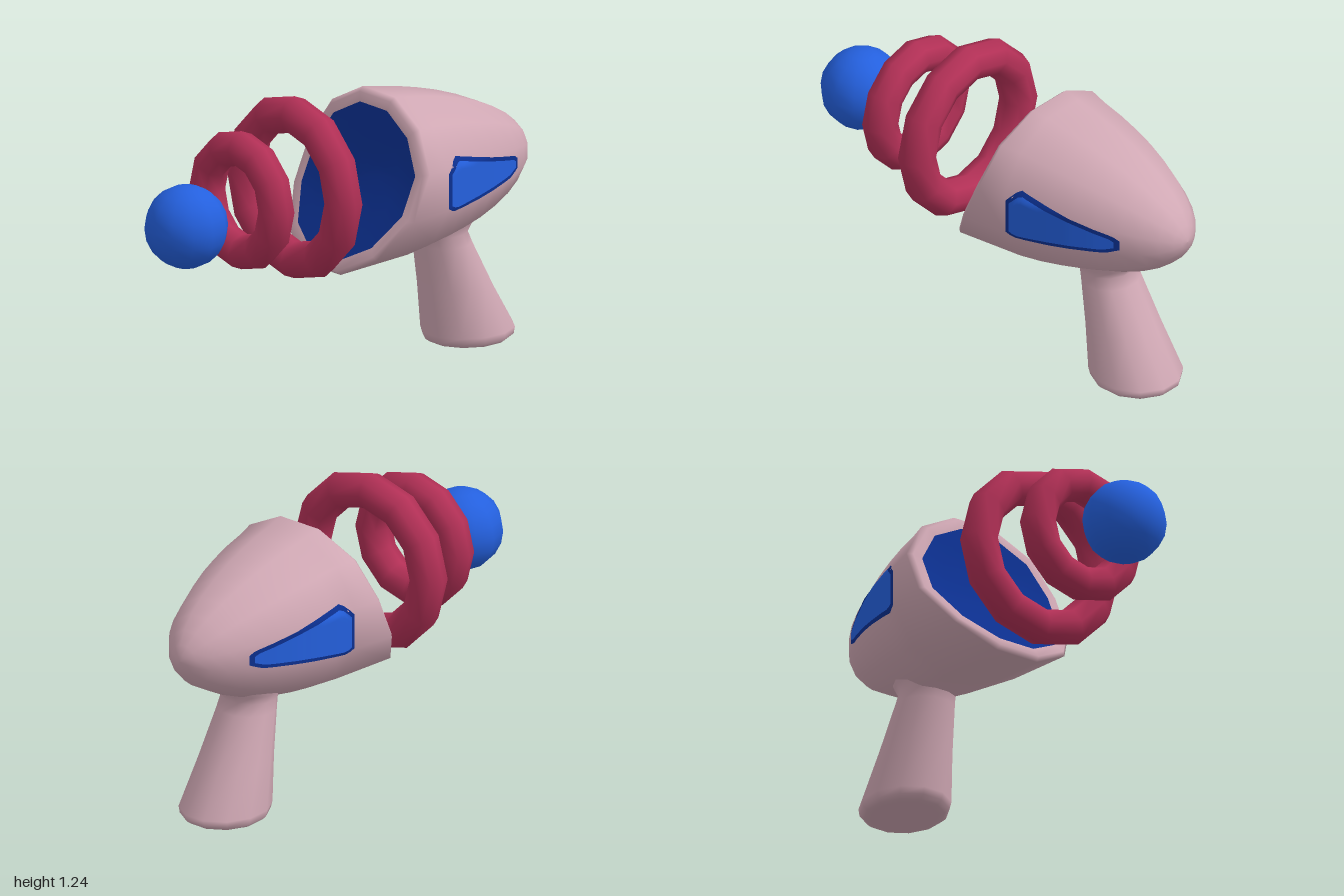
import * as THREE from 'three';

const SIDES = 12;
const AXIS_Y = 0.81;

// piecewise-linear lookup in [[key, value], ...]
function lookup(table, k) {
  if (k <= table[0][0]) return table[0][1];
  for (let i = 1; i < table.length; i++) {
    const [k0, v0] = table[i - 1], [k1, v1] = table[i];
    if (k <= k1) return v0 + (v1 - v0) * (k - k0) / (k1 - k0);
  }
  return table[table.length - 1][1];
}

// smooth surface through rows of points
function loft(rows, closed, flip = false) {
  const n = rows[0].length, pos = rows.flat(2), idx = [];
  for (let i = 0; i < rows.length - 1; i++) {
    for (let j = 0; j < (closed ? n : n - 1); j++) {
      const a = i * n + j, b = i * n + (j + 1) % n, c = b + n, d = a + n;
      if (flip) idx.push(a, c, b, a, d, c);
      else idx.push(a, b, c, a, c, d);
    }
  }
  const g = new THREE.BufferGeometry();
  g.setAttribute('position', new THREE.Float32BufferAttribute(pos, 3));
  g.setIndex(idx);
  g.computeVertexNormals();
  return g;
}

const ring = (fn) => Array.from({ length: SIDES }, (_, j) => fn((j + 0.5) * 2 * Math.PI / SIDES));

// hull: radius and widening along x, and the curved slanted rear face x(y)
const RADIUS = [[0.3, 0.358], [0.4, 0.342], [0.5, 0.32], [0.6, 0.293], [0.7, 0.258], [0.8, 0.214],
  [0.88, 0.167], [0.94, 0.119], [0.98, 0.068], [0.996, 0.03], [1, 0.0005]];
const WIDEN = [[0.3, 1.045], [0.6, 1.03], [1, 1]];
const REAR = [[0.45, -0.092], [0.475, -0.09], [0.545, -0.045], [0.72, 0.075], [0.9, 0.155], [1.08, 0.19], [1.15, 0.205]];
const centreY = (x) => AXIS_Y - 0.015 * Math.max(0, (x - 0.3) / 0.7);

const rearRing = (s, dx = 0) => ring((a) => {
  const y = AXIS_Y + Math.cos(a) * 0.372 * s;
  return [lookup(REAR, y) + dx, y, Math.sin(a) * 0.404 * s];
});
const hullRing = (x) => ring((a) => {
  const r = lookup(RADIUS, x);
  return [x, centreY(x) + Math.cos(a) * r, Math.sin(a) * r * lookup(WIDEN, x)];
});

// z of the twelve-sided hull side at (x, y)
function hullZ(x, y) {
  const r = lookup(RADIUS, x), side = [];
  for (let j = SIDES / 2 - 1; j >= 0; j--) {
    const a = (j + 0.5) * 2 * Math.PI / SIDES;
    side.push([centreY(x) + Math.cos(a) * r, Math.sin(a) * r * lookup(WIDEN, x)]);
  }
  return lookup(side, y);
}

// thin painted panel that follows the hull side
function panel(lower, upper, lift, sign) {
  const x0 = lower[0][0], x1 = lower[lower.length - 1][0], rows = [];
  for (let i = 0; i <= 24; i++) {
    const x = x0 + (x1 - x0) * i / 24, lo = lookup(lower, x), hi = lookup(upper, x), row = [];
    for (let j = 0; j <= 12; j++) {
      const y = lo + (hi - lo) * j / 12;
      row.push([x, y, sign * (hullZ(x, y) + lift)]);
    }
    rows.push(row);
  }
  return loft(rows, false, sign > 0);
}

export function createModel() {
  const model = new THREE.Group();
  const mat = (name, color) => {
    const m = new THREE.MeshStandardMaterial({ color });
    m.name = name;
    return m;
  };
  const pink = mat('dustyPink', 0xd0a8b4);
  const red = mat('crimson', 0xb23056);
  const blue = mat('brightBlue', 0x2460de);
  const navy = mat('darkBlue', 0x0c3090);
  const add = (name, geometry, material) => {
    const m = new THREE.Mesh(geometry, material);
    m.name = name;
    model.add(m);
    return m;
  };

  // hull with a rounded rear rim
  add('hull', loft([rearRing(0.84), rearRing(0.95), rearRing(1, 0.022),
    ...RADIUS.map(([x]) => hullRing(x))], true), pink);

  // dark rear face
  add('rearFace', loft([0.0005, 0.3, 0.6, 0.84].map((s) => rearRing(s)), true), navy);

  // side windows with a dark border
  for (const sign of [1, -1]) {
    const side = sign > 0 ? 'front' : 'back';
    add(side + 'WindowBorder', panel(
      [[0.305, 0.725], [0.34, 0.705], [0.75, 0.748], [0.805, 0.772]],
      [[0.305, 0.88], [0.36, 0.94], [0.78, 0.832], [0.805, 0.815]], 0.004, sign), navy);
    add(side + 'Window', panel(
      [[0.322, 0.735], [0.35, 0.722], [0.74, 0.763], [0.785, 0.78]],
      [[0.322, 0.872], [0.37, 0.92], [0.77, 0.818], [0.785, 0.808]], 0.008, sign), blue);
  }

  // slanted grip: [y, centre x, half depth, half width]
  const grip = [[0.6, 0.55, 0.17, 0.16], [0.535, 0.555, 0.14, 0.135], [0.5, 0.555, 0.116, 0.125],
    [0.45, 0.571, 0.122, 0.131], [0.25, 0.64, 0.16, 0.158], [0.05, 0.709, 0.208, 0.188],
    [0.02, 0.711, 0.2, 0.183], [0.004, 0.712, 0.178, 0.165], [0, 0.712, 0.15, 0.14], [0, 0.712, 0.0005, 0.0005]];
  add('grip', loft(grip.map(([y, cx, rx, rz]) =>
    ring((a) => [cx + Math.cos(a) * rx, y, Math.sin(a) * rz])), true), pink);

  // floating rings and tip ball
  for (const [name, x, radius, tube] of [['largeRing', -0.232, 0.318, 0.08], ['smallRing', -0.52, 0.226, 0.076]]) {
    const r = add(name, new THREE.TorusGeometry(radius, tube, 8, 12), red);
    r.rotation.y = Math.PI / 2;
    r.position.set(x, 0.842, 0);
  }
  add('tipBall', new THREE.SphereGeometry(0.178, 12, 10), blue).position.set(-0.822, 0.787, 0);

  return model;
}
